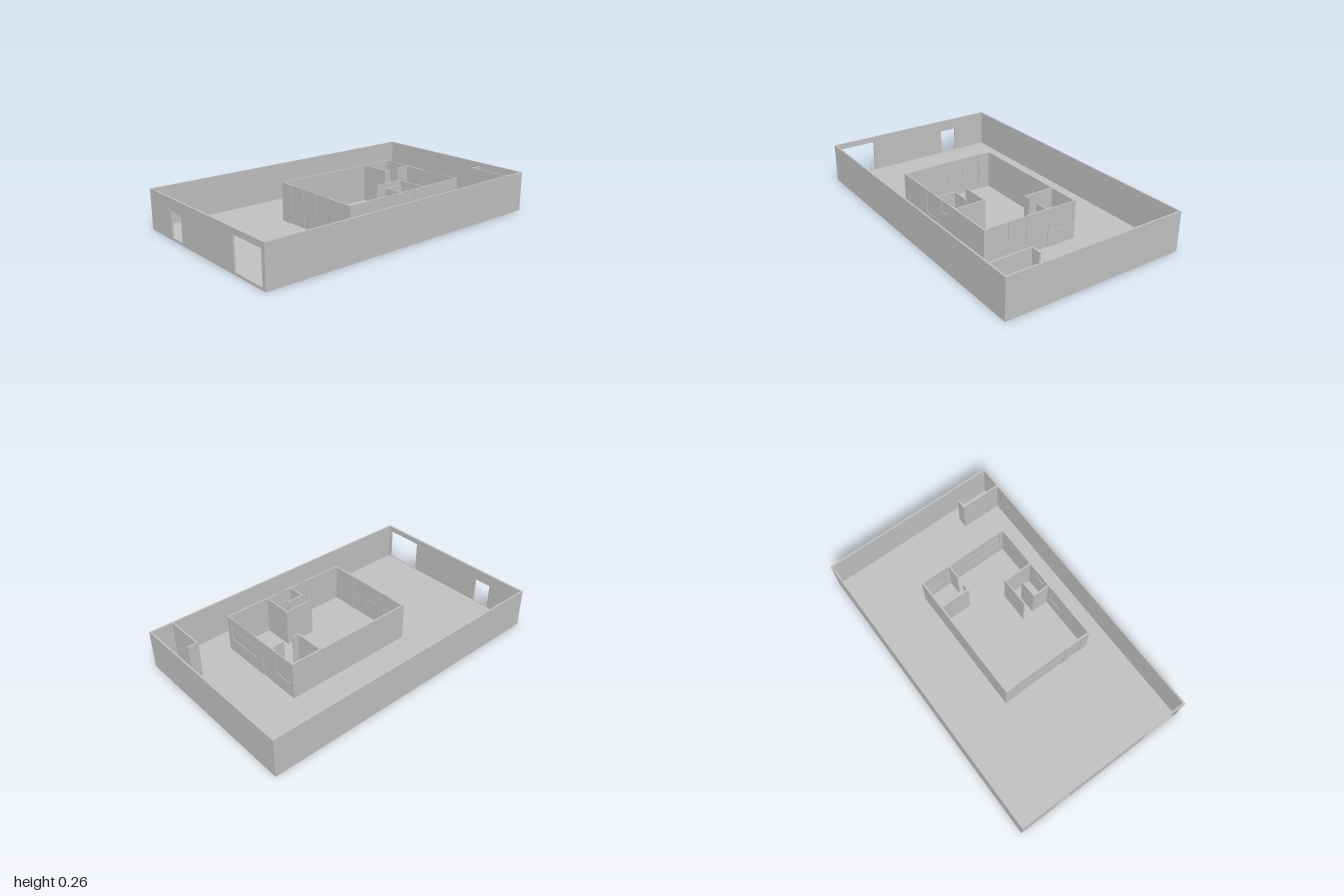
import * as THREE from 'three';

const FLOOR = 0.012, TOP = 0.257, T = 0.011;

export function createModel() {
  const grey = new THREE.MeshStandardMaterial({ color: 0xc0c0c0 });
  grey.name = 'plain grey';
  const model = new THREE.Group();
  model.name = 'walledHouse';

  const group = (name) => {
    const g = new THREE.Group();
    g.name = name;
    model.add(g);
    return g;
  };
  // Box given by its limits on each axis
  const block = (parent, name, x0, x1, y0, y1, z0, z1) => {
    const mesh = new THREE.Mesh(new THREE.BoxGeometry(x1 - x0, y1 - y0, z1 - z0), grey);
    mesh.name = name;
    mesh.position.set((x0 + x1) / 2, (y0 + y1) / 2, (z0 + z1) / 2);
    parent.add(mesh);
  };
  // Upright piece running along x or z, with u along the wall and w across it
  const piece = (parent, name, axis, u0, u1, y0, y1, w0, w1) =>
    axis === 'x'
      ? block(parent, name, u0, u1, y0, y1, w0, w1)
      : block(parent, name, w0, w1, y0, y1, u0, u1);

  // Wall with a row of openings: { a, b, bottom, top, panes, rail, handle, open }
  const wall = (parent, name, axis, u0, u1, w0, w1, openings = []) => {
    let u = u0;
    const mid = (w0 + w1) / 2;
    for (const o of openings) {
      const bottom = o.bottom ?? FLOOR, top = o.top ?? TOP;
      piece(parent, name, axis, u, o.a, FLOOR, TOP, w0, w1);
      if (bottom > FLOOR) piece(parent, name + 'Sill', axis, o.a, o.b, FLOOR, bottom, w0, w1);
      if (top < TOP) piece(parent, name + 'Lintel', axis, o.a, o.b, top, TOP, w0, w1);
      if (!o.open) {
        piece(parent, o.handle ? 'doorLeaf' : 'windowPane', axis, o.a, o.b, bottom, top, mid - 0.0015, mid + 0.0015);
      }
      // Window bars
      if (o.panes) {
        const step = (o.b - o.a) / o.panes, r = 0.002, d = 0.0035;
        for (let i = 1; i < o.panes; i++) {
          const c = o.a + i * step;
          piece(parent, 'mullion', axis, c - r, c + r, bottom, top, mid - d, mid + d);
        }
        for (const y of [o.rail, top - 0.004]) {
          if (y) piece(parent, 'windowRail', axis, o.a, o.b, y - r, y + r, mid - d, mid + d);
        }
      }
      if (o.handle) {
        piece(parent, 'doorHandle', axis, o.handle - 0.004, o.handle + 0.004, 0.09, 0.112, mid - 0.005, mid + 0.005);
      }
      u = o.b;
    }
    piece(parent, name, axis, u, u1, FLOOR, TOP, w0, w1);
  };

  // Ground slab
  block(model, 'groundSlab', -0.6, 0.6, 0, FLOOR, -1, 1);

  // Yard wall with a small doorway and a wide gateway in front
  const yard = group('yardWall');
  wall(yard, 'yardFront', 'x', -0.6, 0.6, 1 - T, 1, [
    { a: -0.35, b: -0.23, bottom: 0.016, top: 0.18, open: true },
    { a: 0.315, b: 0.572, bottom: 0.016, top: 0.22, open: true },
  ]);
  wall(yard, 'yardBack', 'x', -0.6, 0.6, -1, -1 + T);
  for (const s of [-1, 1]) {
    const outer = s * 0.6, inner = s * (0.6 - T);
    wall(yard, s > 0 ? 'yardLeft' : 'yardRight', 'z', -1 + T, 1 - T, Math.min(outer, inner), Math.max(outer, inner));
  }

  // Corner store in the yard
  const store = group('cornerStore');
  wall(store, 'storeFront', 'x', 0.318, 0.6 - T, -0.851, -0.841);
  wall(store, 'storeSide', 'z', -0.91, -0.851, 0.318, 0.328);

  // House shell
  const house = group('house');
  const x0 = -0.205, x1 = 0.43, z0 = -0.565, z1 = 0.32;
  wall(house, 'houseFront', 'x', x0, x1, z1 - T, z1, [
    { a: -0.112, b: 0.245, panes: 3, rail: 0.14 },
    { a: 0.29, b: 0.373, top: 0.178, handle: 0.308 },
  ]);
  wall(house, 'houseBack', 'x', x0, x1, z0, z0 + T, [
    { a: -0.185, b: -0.047, bottom: 0.105, panes: 1 },
    { a: -0.008, b: 0.08, top: 0.178, handle: 0.062 },
    { a: 0.143, b: 0.392, bottom: 0.105, panes: 2, rail: 0.18 },
  ]);
  wall(house, 'houseRight', 'z', z0 + T, z1 - T, x0, x0 + T);
  wall(house, 'houseLeft', 'z', z0 + T, z1 - T, x1 - T, x1, [
    { a: -0.19, b: -0.125, bottom: 0.185, panes: 1 },
    { a: -0.04, b: 0.045, bottom: 0.105, panes: 1 },
  ]);

  // Back room partitions with a doorway gap
  const rooms = group('partitions');
  wall(rooms, 'backRoomFront', 'x', x0 + T, 0.004, -0.36, -0.35);
  wall(rooms, 'backRoomSide', 'z', z0 + T, -0.465, -0.004, 0.004);
  wall(rooms, 'backRoomSide', 'z', -0.4, -0.36, -0.004, 0.004);

  // Side rooms, one nested in the other
  wall(rooms, 'sideRoomBack', 'x', 0.222, x1 - T, -0.27, -0.261);
  wall(rooms, 'sideRoomWall', 'z', -0.261, -0.07, 0.222, 0.23);
  wall(rooms, 'innerRoomFront', 'x', 0.302, x1 - T, -0.083, -0.074);
  wall(rooms, 'innerRoomWall', 'z', -0.195, -0.083, 0.302, 0.311);

  return model;
}
